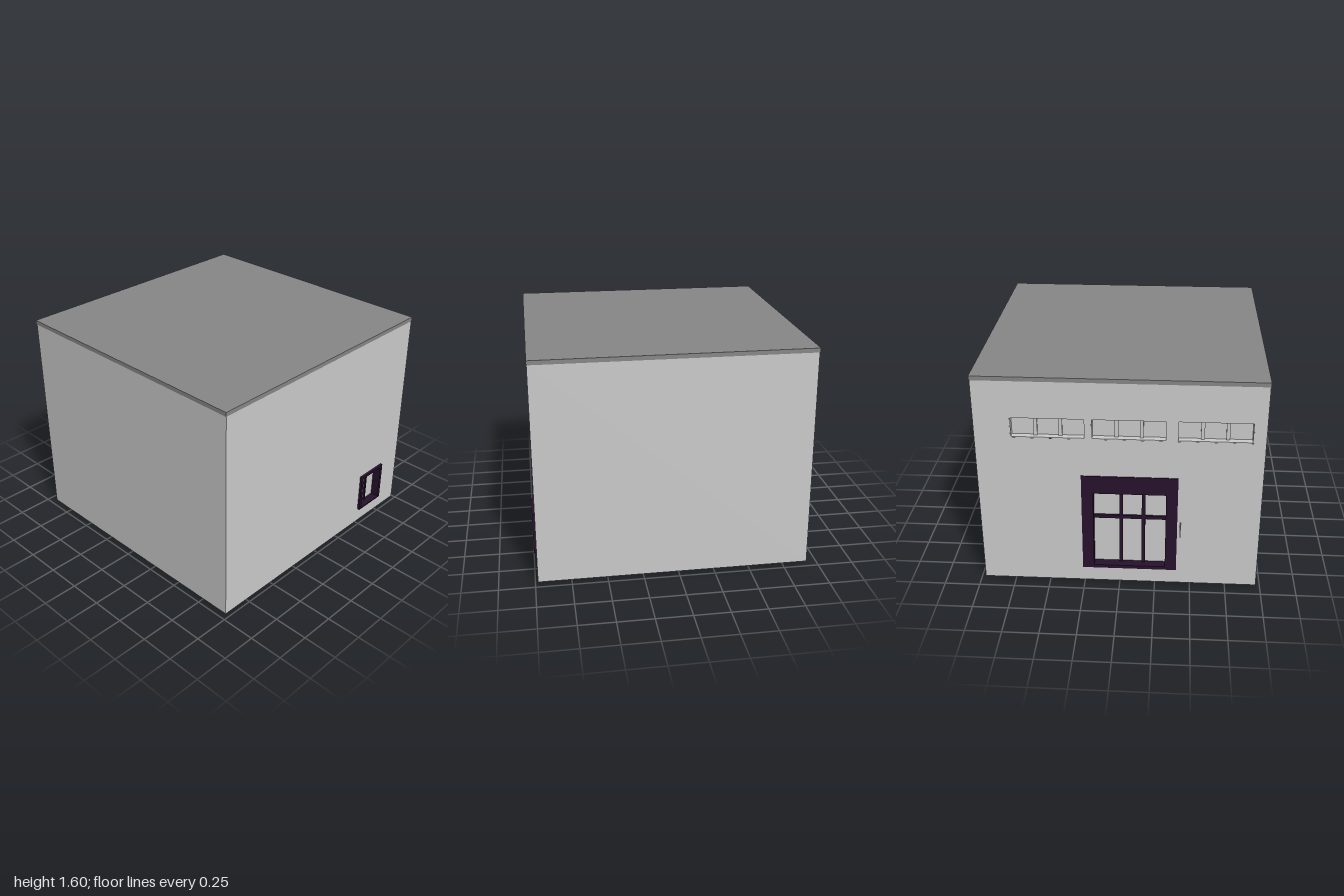
import * as THREE from 'three';

const grey = new THREE.MeshStandardMaterial({ color: 0xcccccc, side: THREE.DoubleSide });
const roofGrey = new THREE.MeshStandardMaterial({ color: 0x878787 });
const dark = new THREE.MeshStandardMaterial({ color: 0x27112c });

// Building extents
const X0 = -0.92, X1 = 0.982, Y0 = 0.02, Y1 = 1.57, Z = 0.968;

// Box from its min/max limits (each pair in any order)
function box(name, mat, [xa, xb], [ya, yb], [za, zb]) {
  const g = new THREE.BoxGeometry(Math.abs(xb - xa), Math.abs(yb - ya), Math.abs(zb - za));
  const m = new THREE.Mesh(g, mat);
  m.position.set((xa + xb) / 2, (ya + yb) / 2, (za + zb) / 2);
  m.name = name;
  return m;
}

// Thin wall in the z-y plane with rectangular openings [z0, z1, y0, y1]
function sideWall(name, x, openings) {
  const rect = (Kind, z0, z1, y0, y1) => {
    const p = new Kind();
    p.moveTo(z0, y0).lineTo(z1, y0).lineTo(z1, y1).lineTo(z0, y1).closePath();
    return p;
  };
  const shape = rect(THREE.Shape, -Z, Z, Y0, Y1);
  openings.forEach(o => shape.holes.push(rect(THREE.Path, ...o)));
  const m = new THREE.Mesh(new THREE.ShapeGeometry(shape), grey);
  m.rotation.y = -Math.PI / 2;
  m.position.x = x;
  m.name = name;
  return m;
}

// Recessed glazing: surround of given widths, glass pane and bars.
// xo = outer plane of the surround, xi = plane of the glass
function glazing(name, mat, xo, xi, [z0, z1, y0, y1], w, barsZ, barsY, barW) {
  const g = new THREE.Group();
  g.name = name;
  const s = Math.sign(xo - xi);
  const back = xi - s * 0.015, depth = [xo, back];
  g.add(
    box('jamb', mat, depth, [y0, y1], [z0, z0 + w.side]),
    box('jamb', mat, depth, [y0, y1], [z1 - w.side, z1]),
    box('head', mat, depth, [y1 - w.top, y1], [z0 + w.side, z1 - w.side]),
    box('sill', mat, depth, [y0, y0 + w.bottom], [z0 + w.side, z1 - w.side]),
    box('glass', grey, [xi, back], [y0 + w.bottom, y1 - w.top], [z0 + w.side, z1 - w.side])
  );
  const bar = [xi + s * 0.015, back];
  barsZ.forEach(z => g.add(box('mullion', mat, bar, [y0 + w.bottom, y1 - w.top], [z - barW / 2, z + barW / 2])));
  barsY.forEach(y => g.add(box('transom', mat, bar, [y - barW / 2, y + barW / 2], [z0 + w.side, z1 - w.side])));
  return g;
}

export function createModel() {
  const model = new THREE.Group();
  model.name = 'building';

  // Openings
  const door = [-0.26, 0.4, 0.13, 0.88];
  const sideWindow = [-0.76, -0.5, 0.13, 0.43];
  const highWindows = [-0.725, -0.185, 0.385].map(z => [z, z + 0.5, 1.16, 1.31]);

  // Walls
  model.add(sideWall('rightWall', X0, [door, ...highWindows]));
  model.add(sideWall('leftWall', X1, [sideWindow]));
  for (const [name, z] of [['frontWall', Z], ['backWall', -Z]]) {
    const m = new THREE.Mesh(new THREE.PlaneGeometry(X1 - X0, Y1 - Y0), grey);
    m.position.set((X0 + X1) / 2, (Y0 + Y1) / 2, z);
    m.name = name;
    model.add(m);
  }

  // Roof slab and raised floor
  model.add(box('roof', roofGrey, [X0 - 0.005, X1 + 0.002], [Y1, 1.6], [-Z - 0.003, Z + 0.003]));
  model.add(box('floor', dark, [X0 + 0.002, X1 - 0.002], [0.12, 0.13], [-Z + 0.002, Z - 0.002]));

  // Large glazed door
  model.add(glazing('entranceDoor', dark, X0 - 0.006, X0 + 0.06, door,
    { side: 0.08, top: 0.135, bottom: 0.025 }, [0.01, 0.165], [0.53], 0.025));

  // Window on the opposite side
  model.add(glazing('sideWindow', dark, 1, X1 - 0.045, sideWindow,
    { side: 0.022, top: 0.02, bottom: 0.01 }, [-0.628], [], 0.014));

  // Rows of high windows, three panes each
  highWindows.forEach(o => {
    const third = (o[1] - o[0]) / 3;
    model.add(glazing('highWindow', grey, X0 + 0.001, X0 + 0.045, o,
      { side: 0.006, top: 0.006, bottom: 0.006 }, [o[0] + third, o[0] + 2 * third], [], 0.025));
  });

  // Small plate hanging out beside the door
  model.add(box('signPlate', grey, [-1, X0], [0.46, 0.53], [0.418, 0.427]));

  // Round post below the floor
  const post = new THREE.Mesh(new THREE.CylinderGeometry(0.073, 0.073, 0.15, 32), grey);
  post.position.set(-0.145, 0.075, -0.07);
  post.name = 'floorPost';
  model.add(post);

  return model;
}
